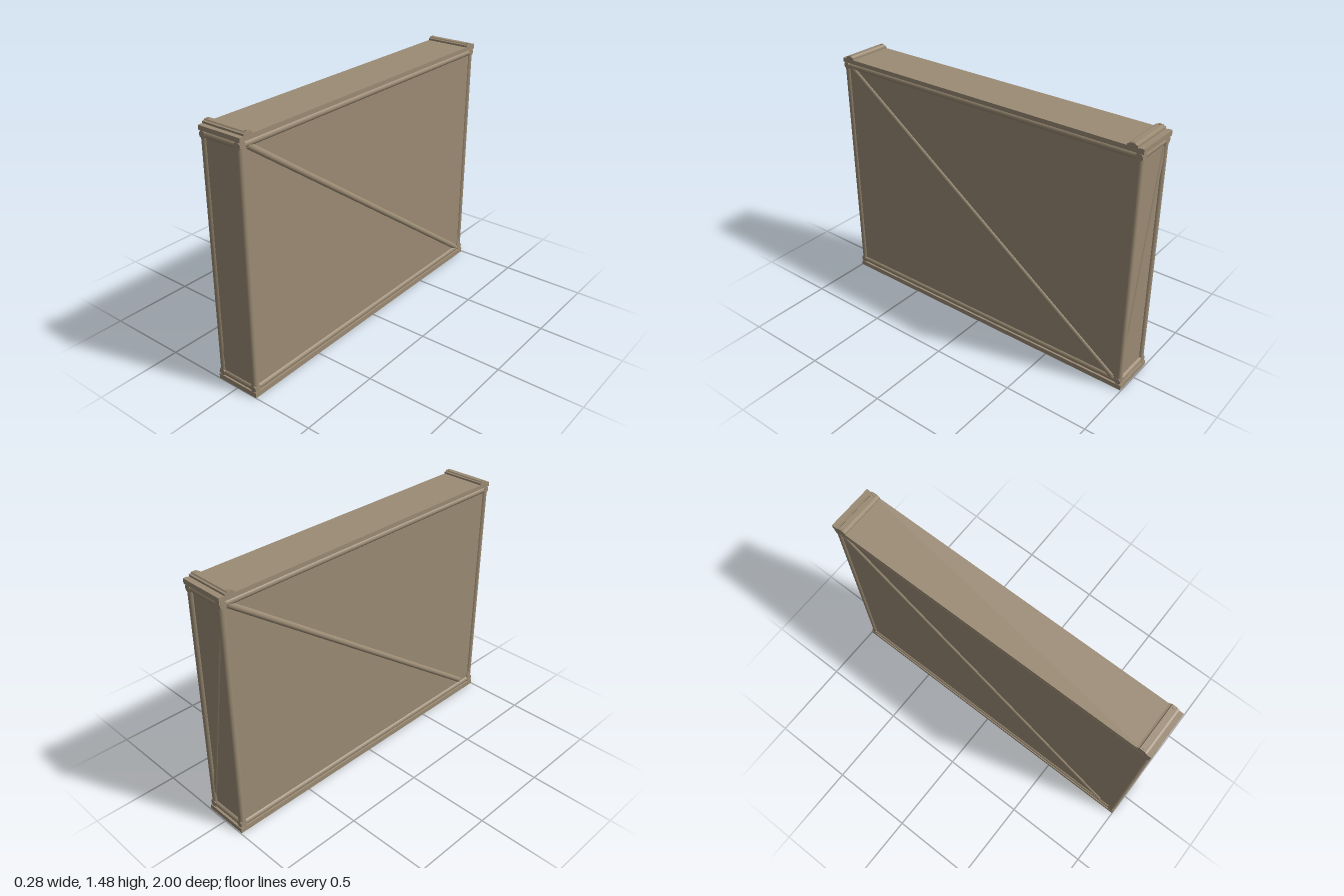
import * as THREE from 'three';

export function createModel() {
  const model = new THREE.Group();
  const tan = new THREE.MeshStandardMaterial({ color: 0x9b8b74 });
  tan.name = 'tan';

  const add = (name, geometry, x = 0, y = 0, z = 0) => {
    const mesh = new THREE.Mesh(geometry, tan);
    mesh.name = name;
    mesh.position.set(x, y, z);
    model.add(mesh);
    return mesh;
  };
  const box = (name, w, h, d, x, y, z) => add(name, new THREE.BoxGeometry(w, h, d), x, y, z);

  // Round rod between two points
  const rod = (name, from, to, radius = 0.02) => {
    const a = new THREE.Vector3(...from), b = new THREE.Vector3(...to);
    const dir = b.clone().sub(a);
    const mesh = add(name, new THREE.CylinderGeometry(radius, radius, dir.length(), 20));
    mesh.position.copy(a).add(b).multiplyScalar(0.5);
    mesh.quaternion.setFromUnitVectors(new THREE.Vector3(0, 1, 0), dir.normalize());
  };

  // Infill panels and the flat slabs above and below
  box('panelCore', 0.25, 1.41, 1.965, 0, 0.73, 0.0075);
  box('baseSlab', 0.274, 0.03, 1.995, 0, 0.015, 0.0025);
  box('topSlab', 0.274, 0.025, 1.995, 0, 1.4425, 0.0025);

  // Frame of rods: corner posts and the rails under and over the slabs
  const X = 0.115, FRONT = 0.979, BACK = -0.97, LOW = 0.05, HIGH = 1.41;
  for (const x of [-X, X]) {
    for (const z of [FRONT, BACK]) rod('cornerPost', [x, 0.02, z], [x, 1.44, z]);
    for (const y of [LOW, HIGH]) rod('sideRail', [x, y, BACK - 0.02], [x, y, FRONT + 0.02]);
  }
  for (const y of [LOW, HIGH])
    for (const z of [FRONT, BACK]) rod('endRail', [-0.135, y, z], [0.135, y, z]);

  // Diagonal braces, one on each upright face
  rod('rightBrace', [X, 1.4, 0.94], [X, 0.06, -0.93]);
  rod('leftBrace', [-X, 1.4, -0.94], [-X, 0.08, 0.88]);
  rod('frontBrace', [0.11, 1.4, 0.972], [-0.118, 0.06, 0.972]);
  rod('backBrace', [-0.11, 1.4, -0.962], [0.118, 0.06, -0.962]);

  // Low stepped bars across the two ends of the top
  for (const z of [0.945, -0.932]) {
    const profile = new THREE.Shape([
      [-0.028, 0], [-0.028, 0.012], [-0.018, 0.014], [-0.014, 0.02],
      [0.014, 0.02], [0.018, 0.014], [0.028, 0.012], [0.028, 0],
    ].map(([px, py]) => new THREE.Vector2(px, py)));
    const bar = new THREE.ExtrudeGeometry(profile, { depth: 0.274, bevelEnabled: false });
    bar.translate(0, 0, -0.137).rotateY(Math.PI / 2);
    add('topBar', bar, 0, 1.454, z);
    for (const x of [-0.125, 0.125])
      add('barStud', new THREE.CylinderGeometry(0.008, 0.008, 0.004, 12), x, 1.475, z);
  }

  // Thin lip at the back edge of the top
  box('backLip', 0.274, 0.004, 0.025, 0, 1.456, -0.9825);

  return model;
}
